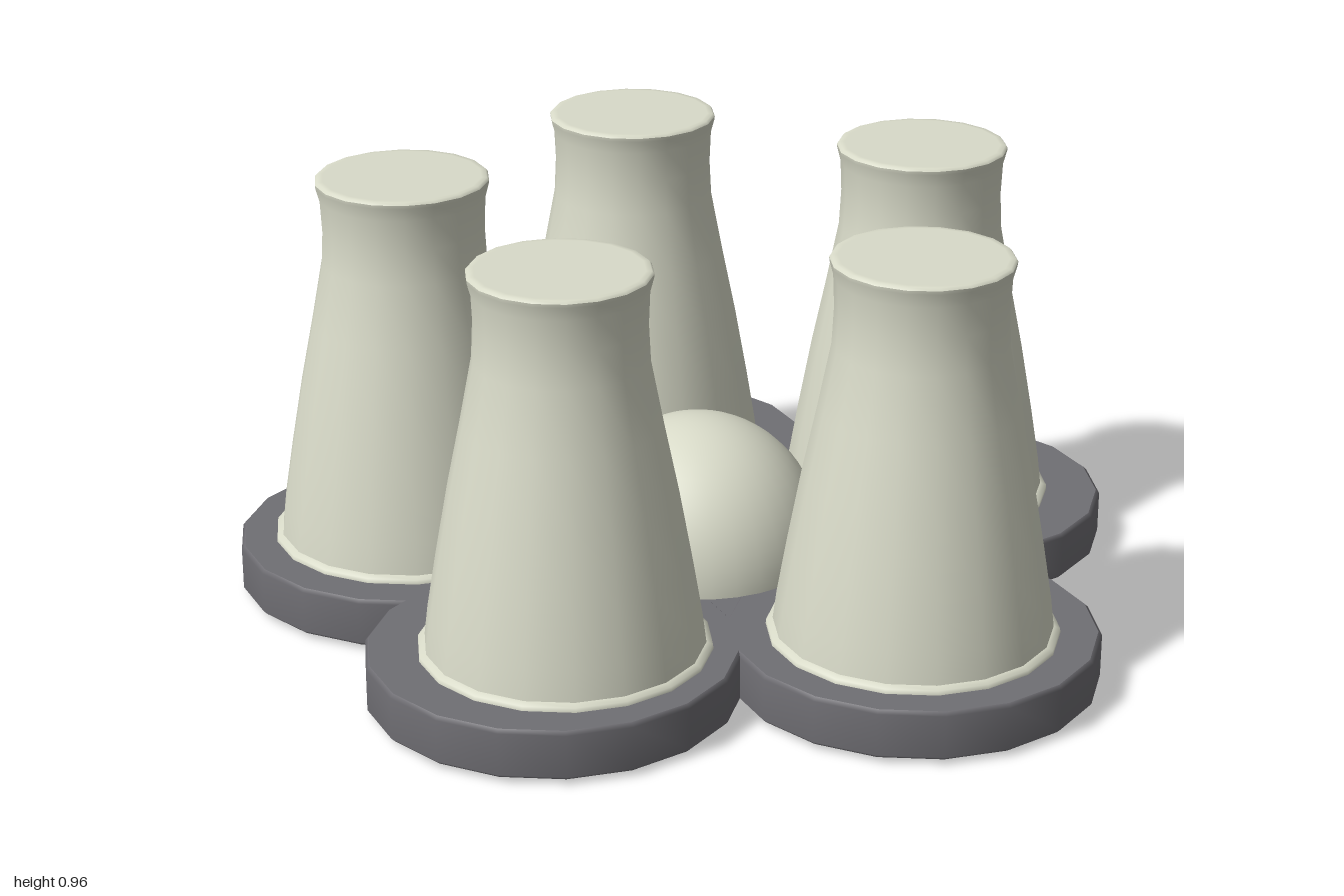
import * as THREE from 'three';

const SEGMENTS = 18;
const concrete = new THREE.MeshStandardMaterial({ color: 0xd9dbc9 });
const slab = new THREE.MeshStandardMaterial({ color: 0x706f74 });

const lathe = (points, segments = SEGMENTS) =>
  new THREE.LatheGeometry(points.map(([r, y]) => new THREE.Vector2(r, y)), segments);

function add(parent, name, geometry, material, x = 0, y = 0, z = 0) {
  const mesh = new THREE.Mesh(geometry, material);
  mesh.name = name;
  mesh.position.set(x, y, z);
  parent.add(mesh);
  return mesh;
}

// Closed disc: flat faces, a smooth side with softened rims
function addDisc(parent, name, radius, bottom, top, segments, x, z) {
  const disc = new THREE.Group();
  disc.name = name;
  disc.position.set(x, 0, z);
  const b = 0.008;
  add(disc, name + 'Side', lathe([
    [radius - b, bottom], [radius, bottom + b], [radius, top - b], [radius - b, top],
  ], segments), slab);
  const face = new THREE.CircleGeometry(radius - b, segments, -Math.PI / 2);
  add(disc, name + 'Top', face, slab, 0, top).rotation.x = -Math.PI / 2;
  add(disc, name + 'Underside', face, slab, 0, bottom).rotation.x = Math.PI / 2;
  parent.add(disc);
}

export function createModel() {
  const model = new THREE.Group();
  model.name = 'coolingTowers';

  // Tower shell: foot flange, sloping body, waist and flared lip
  const footGeometry = lathe([[0.315, 0.118], [0.314, 0.13], [0.3, 0.135]]);
  const shellGeometry = lathe([
    [0.3, 0.135], [0.292, 0.2], [0.272, 0.32], [0.243, 0.48], [0.212, 0.63],
    [0.185, 0.77], [0.181, 0.85], [0.184, 0.92], [0.192, 0.95], [0.193, 0.958],
  ]);
  const lipGeometry = lathe([[0.193, 0.958], [0.188, 0.964], [0.176, 0.964]]);
  const capGeometry = lathe([[0.176, 0.964], [0, 0.964]]);

  // Tower centre x, z and base centre x, z
  const sites = [
    [-0.61, -0.097, -0.603, -0.093],
    [-0.065, -0.52, -0.042, -0.542],
    [0.567, -0.213, 0.603, -0.208],
    [0.44, 0.54, 0.443, 0.53],
    [-0.305, 0.54, -0.33, 0.535],
  ];
  for (const [x, z, baseX, baseZ] of sites) {
    const tower = new THREE.Group();
    tower.name = 'tower';
    tower.position.set(x, 0, z);
    add(tower, 'towerFoot', footGeometry, concrete);
    add(tower, 'towerShell', shellGeometry, concrete);
    add(tower, 'towerLip', lipGeometry, concrete);
    add(tower, 'towerCap', capGeometry, concrete);
    model.add(tower);
    addDisc(model, 'towerBase', 0.403, 0.01, 0.12, SEGMENTS, baseX, baseZ);
  }

  // Central slab joining the bases, with the dome on it
  addDisc(model, 'centreBase', 0.443, 0, 0.117, 32, 0.01, 0.093);
  const dome = new THREE.SphereGeometry(0.287, 32, 16, 0, Math.PI * 2, 0, Math.PI / 2);
  dome.scale(1, 0.31 / 0.287, 1);
  add(model, 'dome', dome, concrete, 0.027, 0.12, 0.072);

  return model;
}
